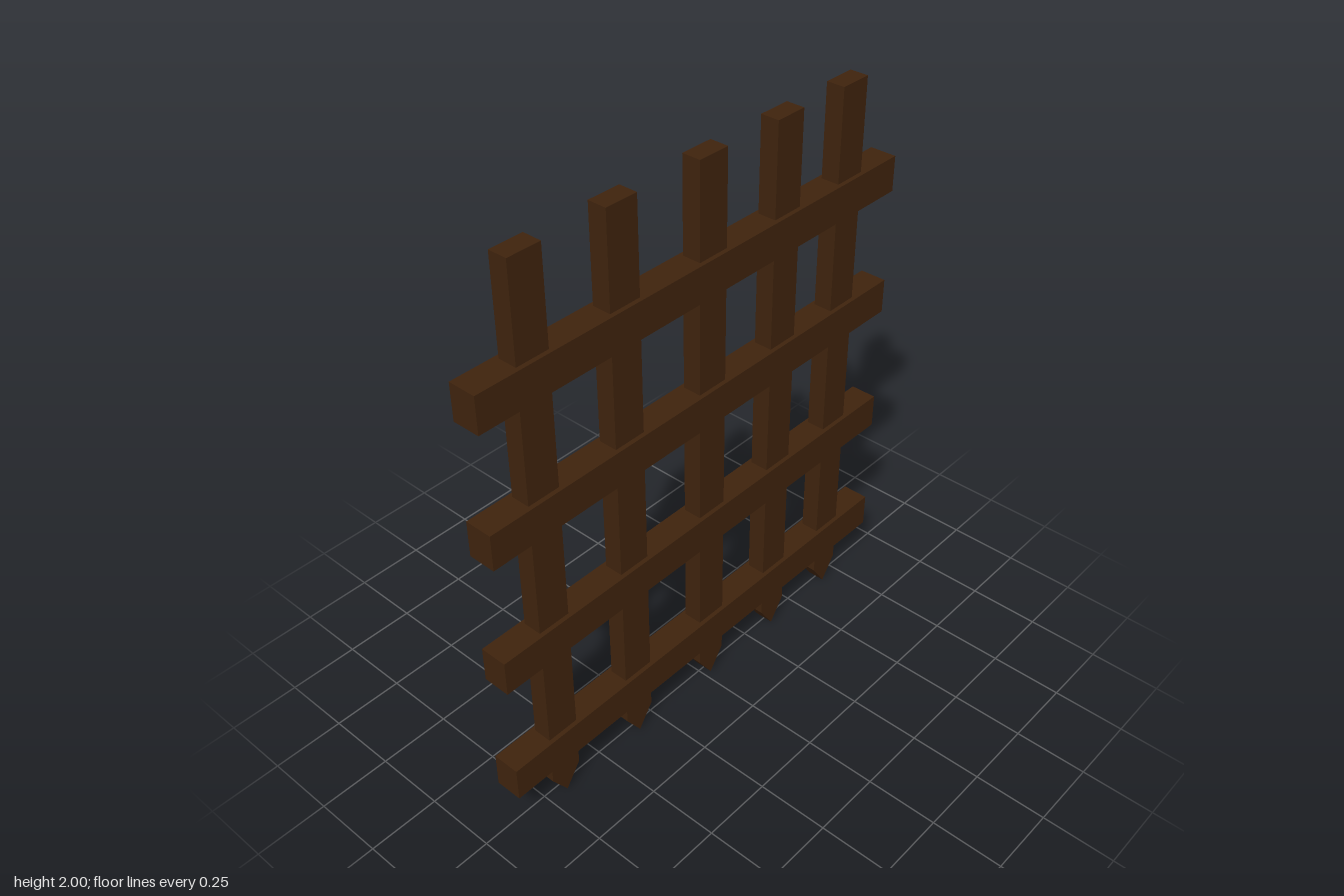
import * as THREE from 'three';

const RAIL_WIDTH = 1.778, RAIL_HEIGHT = 0.124, RAIL_DEPTH = 0.095;
const STAKE_WIDTH = 0.116, STAKE_HEIGHT = 2, STAKE_DEPTH = 0.065, TIP_HEIGHT = 0.085;

// Upright with a wedge-shaped point at the bottom
function stakeGeometry() {
  const w = STAKE_WIDTH / 2;
  const shape = new THREE.Shape([
    new THREE.Vector2(0, 0),
    new THREE.Vector2(w, TIP_HEIGHT),
    new THREE.Vector2(w, STAKE_HEIGHT),
    new THREE.Vector2(-w, STAKE_HEIGHT),
    new THREE.Vector2(-w, TIP_HEIGHT),
  ]);
  const geometry = new THREE.ExtrudeGeometry(shape, { depth: STAKE_DEPTH, bevelEnabled: false });
  return geometry.translate(0, 0, -STAKE_DEPTH / 2);
}

export function createModel() {
  const group = new THREE.Group();
  group.name = 'portcullis';
  const wood = new THREE.MeshStandardMaterial({ color: 0x3f230d });
  wood.name = 'dark wood';

  // Unevenly spaced pointed uprights
  const stake = stakeGeometry();
  [-0.677, -0.335, 0.027, 0.362, 0.668].forEach((x, i) => {
    const mesh = new THREE.Mesh(stake, wood);
    mesh.name = `upright${i + 1}`;
    mesh.position.x = x;
    group.add(mesh);
  });

  // Thicker horizontal rails enclosing the uprights
  const rail = new THREE.BoxGeometry(RAIL_WIDTH, RAIL_HEIGHT, RAIL_DEPTH);
  [0.216, 0.679, 1.161, 1.619].forEach((y, i) => {
    const mesh = new THREE.Mesh(rail, wood);
    mesh.name = `rail${i + 1}`;
    mesh.position.y = y;
    group.add(mesh);
  });

  return group;
}
